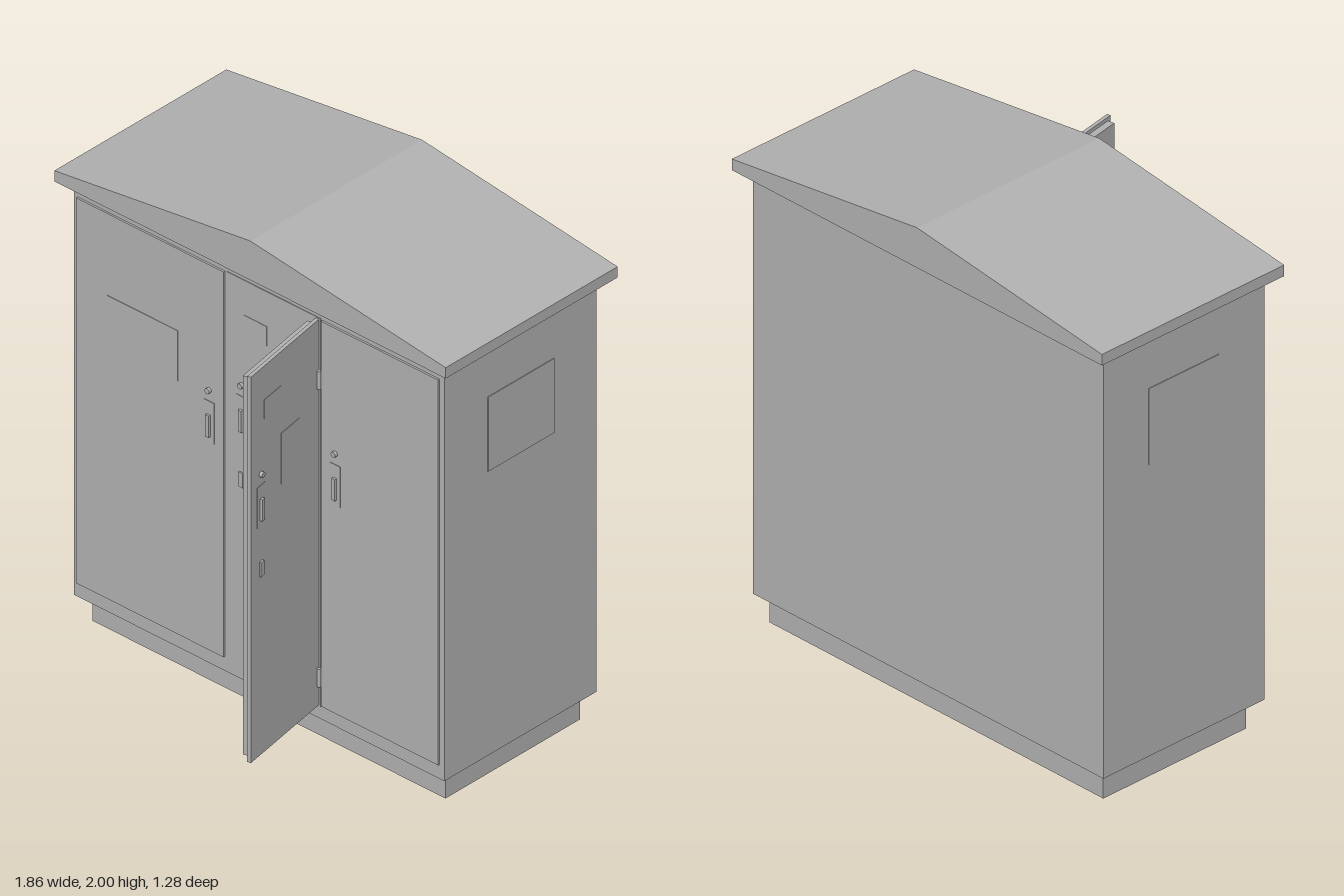
import * as THREE from 'three';

export function createModel() {
  const grey = new THREE.MeshStandardMaterial({ color: 0xb2b2b2 });
  grey.name = 'cabinet grey';
  const model = new THREE.Group();
  model.name = 'cabinet';

  // Box given by its limits on each axis
  function box(parent, name, x0, x1, y0, y1, z0, z1) {
    const mesh = new THREE.Mesh(new THREE.BoxGeometry(x1 - x0, y1 - y0, z1 - z0), grey);
    mesh.position.set((x0 + x1) / 2, (y0 + y1) / 2, (z0 + z1) / 2);
    mesh.name = name;
    parent.add(mesh);
    return mesh;
  }

  // Lock and handle on a backing plate, facing +z from z = 0
  function lockSet(parent, x, y, z) {
    const set = new THREE.Group();
    set.name = 'lockSet';
    set.position.set(x, y, z);
    const lock = new THREE.Mesh(new THREE.CylinderGeometry(0.011, 0.011, 0.012, 16), grey);
    lock.name = 'lock';
    lock.rotation.x = Math.PI / 2;
    lock.position.set(0, 0.145, 0.006);
    set.add(lock);
    box(set, 'handlePlate', -0.025, 0.025, -0.07, 0.1, 0, 0.002);
    box(set, 'handle', -0.008, 0.008, -0.045, 0.045, 0.001, 0.012);
    parent.add(set);
  }

  // Plinth and body
  box(model, 'plinth', -0.84, 0.84, 0, 0.12, -0.545, 0.147);
  box(model, 'body', -0.882, 0.882, 0.115, 1.85, -0.585, 0.198);

  // Shallow gabled roof
  const gable = new THREE.Shape([
    [-0.932, 1.837], [0.932, 1.837], [0.932, 1.882], [0, 2], [-0.932, 1.882],
  ].map(([x, y]) => new THREE.Vector2(x, y)));
  const roof = new THREE.Mesh(
    new THREE.ExtrudeGeometry(gable, { depth: 0.885, bevelEnabled: false }), grey);
  roof.name = 'roof';
  roof.position.z = -0.64;
  model.add(roof);

  // Closed side doors and the inner panel behind the open door
  box(model, 'rightDoor', -0.864, -0.162, 0.175, 1.78, 0.19, 0.206);
  box(model, 'leftDoor', 0.302, 0.86, 0.175, 1.78, 0.19, 0.206);
  box(model, 'innerPanel', -0.15, 0.294, 0.166, 1.784, 0.19, 0.201);
  lockSet(model, -0.231, 1.113, 0.206);
  lockSet(model, 0.37, 1.113, 0.206);
  lockSet(model, -0.08, 1.197, 0.201);
  box(model, 'lowerLatch', -0.09, -0.07, 0.92, 0.98, 0.2, 0.207);

  // Sign plates
  box(model, 'doorSign', -0.72, -0.38, 1.23, 1.44, 0.205, 0.208);
  box(model, 'panelSign', -0.07, 0.04, 1.56, 1.64, 0.2, 0.203);
  for (const s of [-1, 1]) {
    const x = s * 0.883;
    box(model, 'sideSign', x - 0.002, x + 0.002, 1.3, 1.61, -0.365, -0.025);
  }

  // Open door, its width running along local +z and its outside facing +x
  const door = new THREE.Group();
  door.name = 'openDoor';
  door.position.set(0.288, 0, 0.2);
  door.rotation.y = 0.18;
  model.add(door);
  box(door, 'doorSheet', -0.015, 0, 0.173, 1.78, 0, 0.445);
  box(door, 'doorLining', -0.042, -0.014, 0.187, 1.765, 0.012, 0.43);
  box(door, 'doorSign', -0.001, 0.002, 1.23, 1.44, 0.13, 0.25);
  box(door, 'upperSign', -0.001, 0.002, 1.56, 1.64, 0.25, 0.36);
  box(door, 'lowerLatch', -0.001, 0.008, 0.92, 0.98, 0.37, 0.39);
  const outside = new THREE.Group();
  outside.name = 'outsideFittings';
  outside.rotation.y = Math.PI / 2;
  door.add(outside);
  lockSet(outside, -0.38, 1.197, 0);

  // Hinges
  for (const y of [0.295, 1.535]) {
    const hinge = new THREE.Mesh(new THREE.CylinderGeometry(0.007, 0.007, 0.075, 12), grey);
    hinge.name = 'hinge';
    hinge.position.set(0.296, y, 0.21);
    model.add(hinge);
  }
  return model;
}
